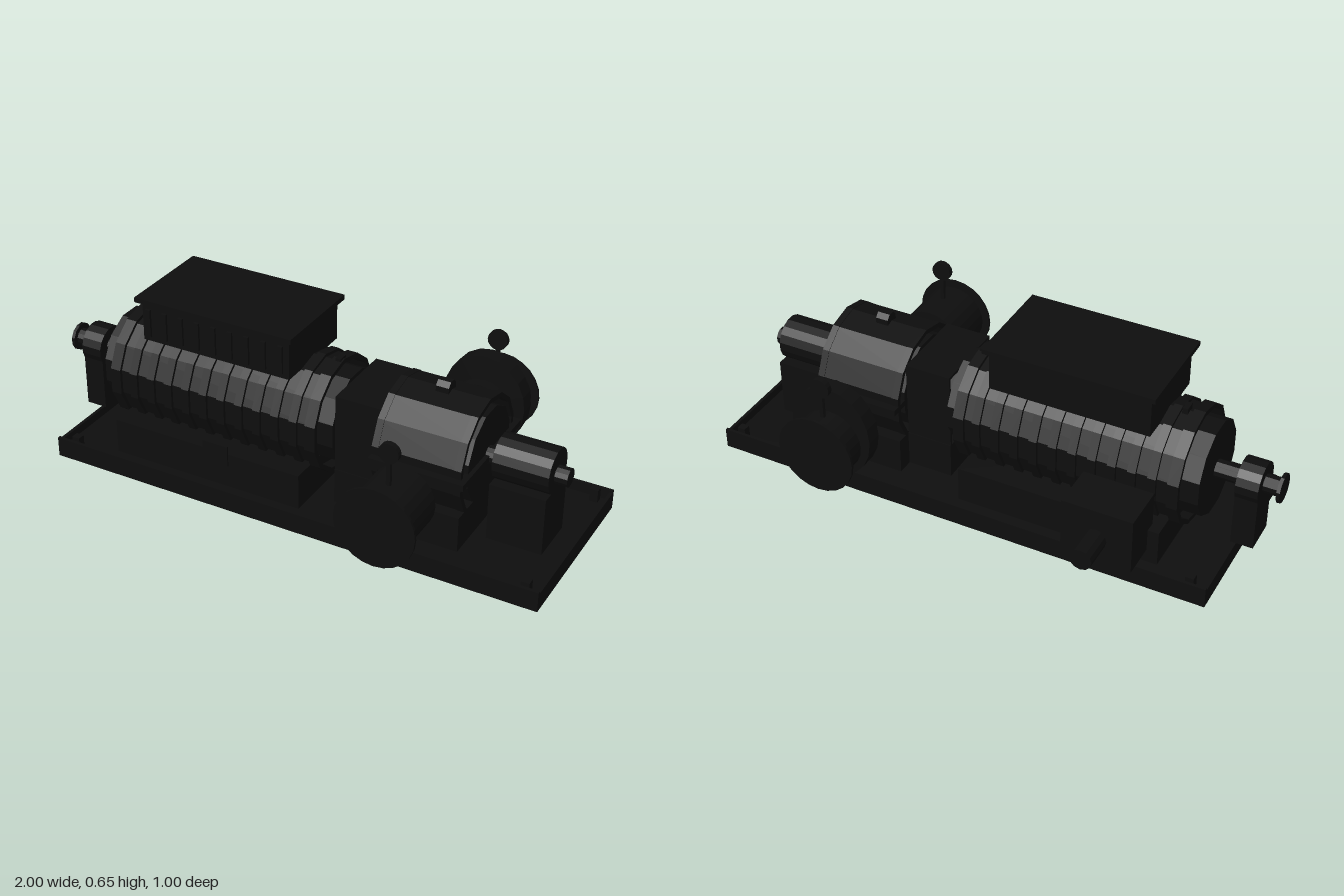
import * as THREE from 'three';

const AXIS_Y = 0.3; // height of the shaft line

export function createModel() {
  const model = new THREE.Group();
  model.name = 'pumpSet';
  const blackPaint = new THREE.MeshStandardMaterial({ color: 0x0e0e0e, flatShading: true, side: THREE.DoubleSide });
  blackPaint.name = 'black paint';

  const add = (name, geometry, x, y, z) => {
    const mesh = new THREE.Mesh(geometry, blackPaint);
    mesh.name = name;
    mesh.position.set(x, y, z);
    model.add(mesh);
    return mesh;
  };
  // Box given by its limits on each axis
  const box = (name, x0, x1, y0, y1, z0, z1) =>
    add(name, new THREE.BoxGeometry(x1 - x0, y1 - y0, z1 - z0), (x0 + x1) / 2, (y0 + y1) / 2, (z0 + z1) / 2);
  // Cylinder along x
  const rodX = (name, x0, x1, r, y = AXIS_Y, sides = 12, open = false) => {
    const g = new THREE.CylinderGeometry(r, r, x1 - x0, sides, 1, open);
    g.rotateY(Math.PI / sides).rotateZ(Math.PI / 2);
    return add(name, g, (x0 + x1) / 2, y, 0);
  };
  // Cylinder along z
  const rodZ = (name, x, y, z0, z1, r, sides = 20) =>
    add(name, new THREE.CylinderGeometry(r, r, z1 - z0, sides).rotateX(Math.PI / 2), x, y, (z0 + z1) / 2);
  // Flat-sided ring around the x axis
  const ringX = (name, x0, x1, rIn, rOut, sides = 14) => {
    const h = (x1 - x0) / 2;
    const profile = [[rIn, -h], [rOut, -h], [rOut, h], [rIn, h], [rIn, -h]].map(p => new THREE.Vector2(...p));
    const g = new THREE.LatheGeometry(profile, sides).rotateY(Math.PI / sides).rotateZ(Math.PI / 2);
    return add(name, g, (x0 + x1) / 2, AXIS_Y, 0);
  };

  // Base tray with a raised lip
  box('baseTray', -0.875, 1, 0, 0.035, -0.333, 0.333);
  for (const s of [-1, 1]) {
    const z = s * 0.328;
    box('trayLip', -0.875, 1, 0, 0.075, z - 0.006, z + 0.006);
  }
  box('trayEnd', -0.875, -0.863, 0, 0.066, -0.333, 0.333);
  box('trayEnd', 0.988, 1, 0, 0.066, -0.333, 0.333);
  for (const x of [-0.81, 0.945]) for (const z of [-0.3, 0.3])
    box('anchorLug', x - 0.015, x + 0.015, 0.03, 0.084, z - 0.014, z + 0.014);

  // Motor: pedestal, core, finned open shell and end rims
  box('motorPedestal', -0.67, 0.08, 0.03, 0.168, -0.25, 0.25);
  box('ratingPlate', -0.3, -0.2, 0.12, 0.2, 0.25, 0.256);
  rodX('motorCore', -0.765, 0.165, 0.17, 0.305);
  rodX('motorShell', -0.71, 0.12, 0.202, AXIS_Y, 14, true);
  for (const x of [-0.71, 0.08]) ringX('motorEndRim', x, x + 0.04, 0.197, 0.214);
  for (let i = 0; i < 10; i++) {
    const x = -0.63 + i * 0.072;
    ringX('coolingFin', x, x + 0.03, 0.198, 0.213);
  }
  for (const x of [-0.645, 0.105]) box('liftingLug', x - 0.01, x + 0.01, 0.49, 0.52, -0.02, 0.02);

  // Terminal housing on top of the motor
  box('terminalBox', -0.585, 0, 0.482, 0.632, -0.166, 0.168);
  box('terminalLid', -0.605, 0.017, 0.63, 0.648, -0.187, 0.187);
  for (let i = 0; i < 9; i++) {
    const x = -0.56 + i * 0.066;
    box('terminalRib', x - 0.009, x + 0.009, 0.5, 0.605, 0.166, 0.177);
  }

  // Side junction box with cable gland
  box('junctionBox', -0.63, -0.375, 0.085, 0.295, -0.38, -0.21);
  rodZ('cableGland', -0.5, 0.18, -0.495, -0.38, 0.04, 12);

  // Outer bearing and shaft end
  rodX('mainShaft', -1, 0.92, 0.033, 0.303);
  rodX('shaftFlange', -1, -0.988, 0.052, 0.303);
  rodX('outerBearing', -0.935, -0.855, 0.076, AXIS_Y, 16);
  box('outerBearingStand', -0.935, -0.855, 0.068, 0.3, -0.065, 0.065);

  // Coupling guard, open at both ends
  box('guardStand', 0.165, 0.335, 0.03, 0.168, -0.15, 0.15);
  box('guardTop', 0.165, 0.335, 0.445, 0.455, -0.147, 0.147);
  for (const z of [-0.142, 0.142]) box('guardSide', 0.165, 0.335, 0.168, 0.455, z - 0.005, z + 0.005);
  rodX('coupling', 0.165, 0.335, 0.09);

  // Split pump casing
  box('pumpStand', 0.335, 0.66, 0.03, 0.168, -0.21, 0.21);
  rodX('pumpCore', 0.335, 0.665, 0.17, 0.305);
  rodX('pumpCasing', 0.335, 0.66, 0.212, AXIS_Y, 14, true);
  for (const x of [0.335, 0.635]) ringX('casingRim', x, x + 0.025, 0.197, 0.214);
  box('splitFlange', 0.335, 0.68, 0.295, 0.317, -0.235, 0.235);
  rodX('ventValve', 0.475, 0.522, 0.03, 0.515, 8);

  // Nozzles with end flanges and pressure gauges
  for (const s of [-1, 1]) {
    const span = (name, x, y, a, b, r, sides) => rodZ(name, x, y, Math.min(s * a, s * b), Math.max(s * a, s * b), r, sides);
    span('nozzle', 0.495, 0.25, 0.293, 0.495, 0.118, 24);
    span('nozzleFlange', 0.495, 0.25, 0.488, 0.498, 0.146, 24);
    const gz = s > 0 ? 0.408 : 0.427;
    span('gaugeDial', 0.5, 0.486, gz - 0.01, gz + 0.01, 0.037, 16);
    add('gaugeStem', new THREE.CylinderGeometry(0.01, 0.01, 0.12, 8), 0.5, 0.41, s * gz);
  }
  rodZ('valveBody', 0.495, 0.282, -0.395, -0.335, 0.155).scale.y = 1.15;

  // Inner bearing on its stand
  box('innerBearingStand', 0.71, 0.91, 0.03, 0.25, -0.09, 0.09);
  rodX('innerBearing', 0.71, 0.91, 0.081, 0.315, 16);
  rodX('bearingCap', 0.91, 0.955, 0.033, 0.303);
  rodX('oilPlug', 0.687, 0.71, 0.036, 0.168);

  return model;
}
